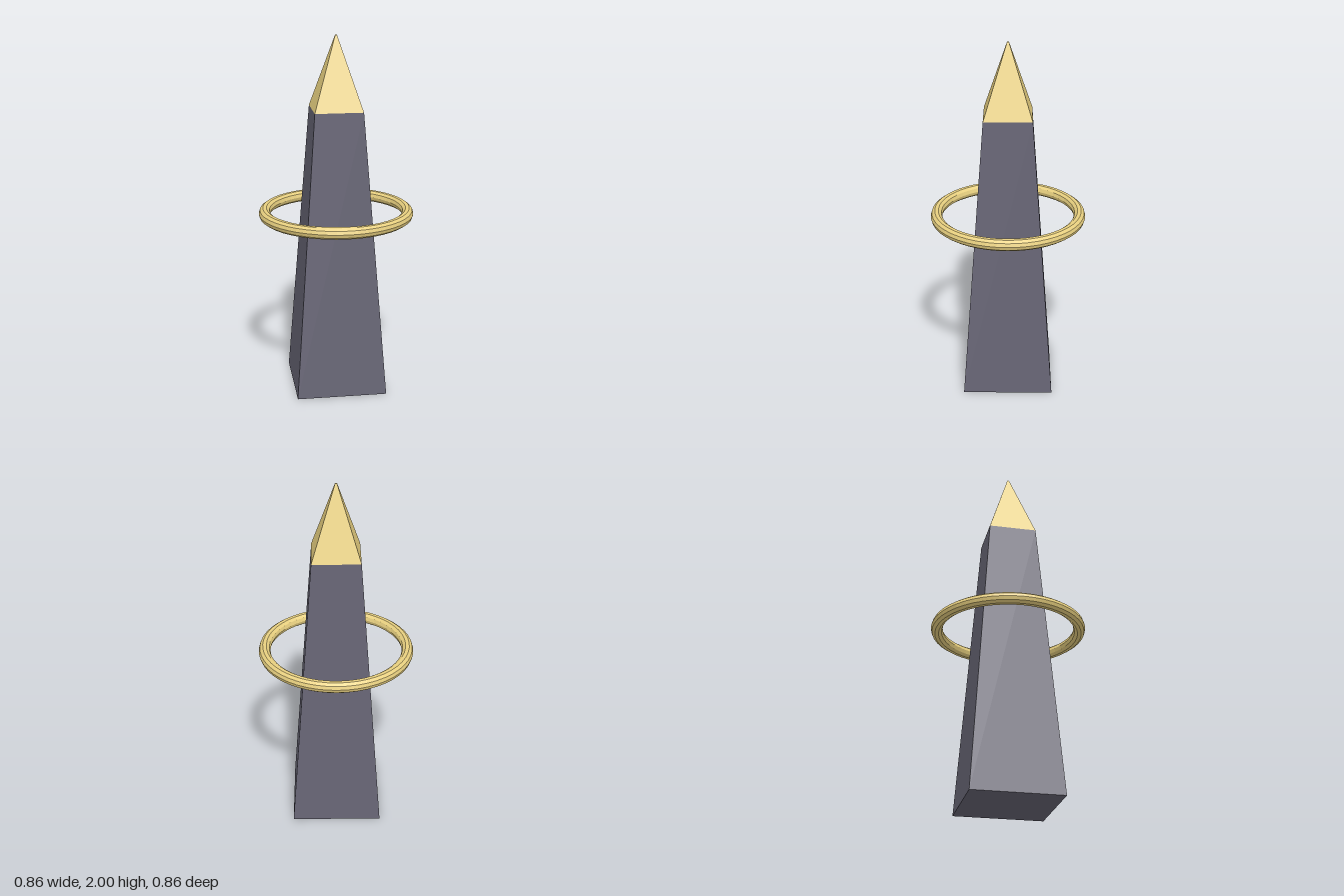
import * as THREE from 'three';

export function createModel() {
  const group = new THREE.Group();
  const stone = new THREE.MeshStandardMaterial({ color: 0x666474, flatShading: true });
  const gold = new THREE.MeshStandardMaterial({ color: 0xe8d080, flatShading: true });

  const add = (name, geometry, material, y) => {
    const mesh = new THREE.Mesh(geometry, material);
    mesh.name = name;
    mesh.position.y = y;
    group.add(mesh);
    return mesh;
  };

  // Four-sided tapering shaft, corners on the x and z axes
  add('shaft', new THREE.CylinderGeometry(0.188, 0.356, 1.6, 4), stone, 0.8);

  // Pointed cap with a tiny blunt end
  add('cap', new THREE.CylinderGeometry(0.007, 0.188, 0.4, 4), gold, 1.8);

  // Floating ring around the shaft
  const ring = add('ring', new THREE.TorusGeometry(0.399, 0.033, 10, 48), gold, 1.013);
  ring.rotation.x = Math.PI / 2;

  return group;
}
